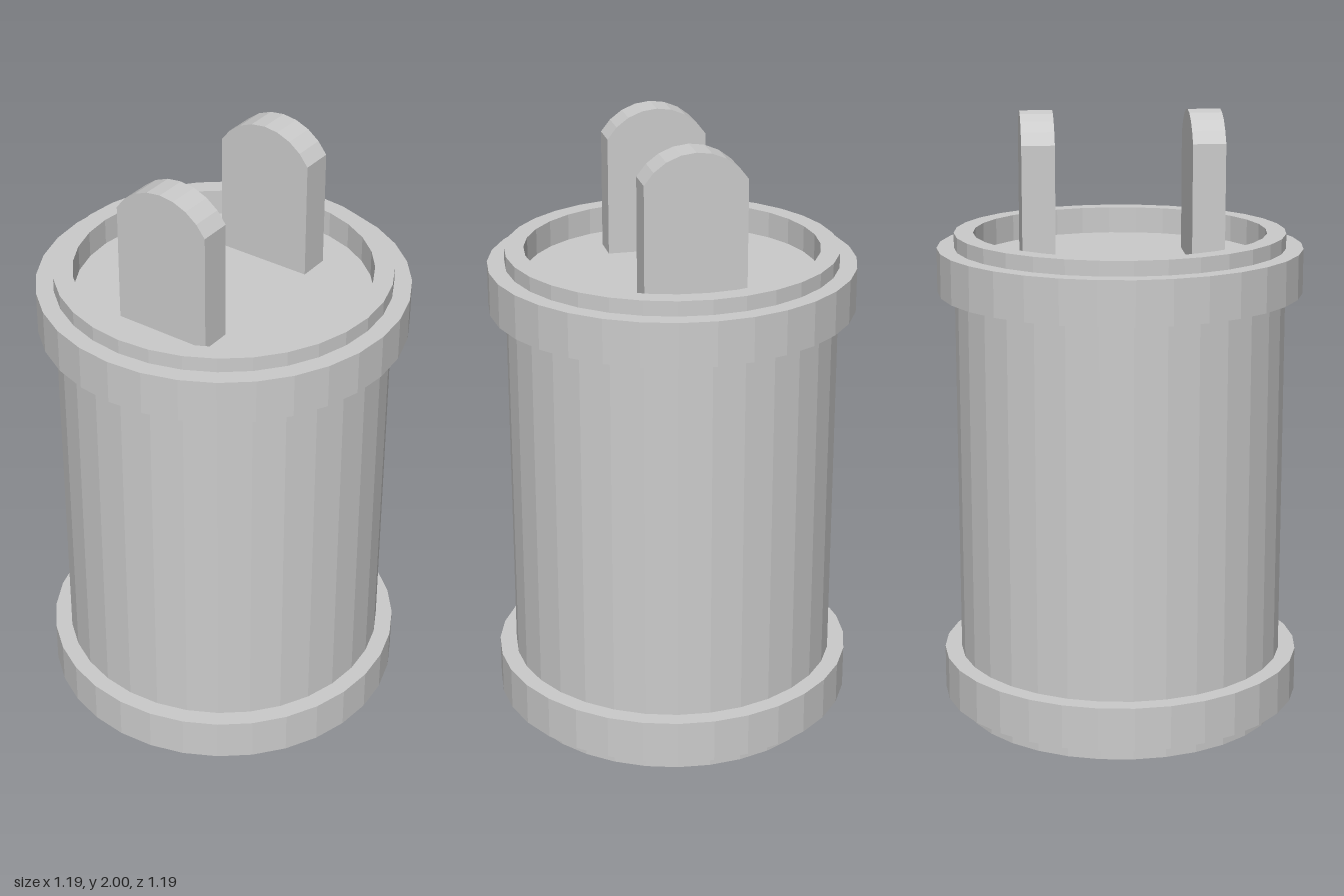
import * as THREE from 'three';

const SIDES = 32;
const material = new THREE.MeshStandardMaterial({ color: 0xcccccc, flatShading: true });

function addMesh(parent, name, geometry) {
  const mesh = new THREE.Mesh(geometry, material);
  mesh.name = name;
  parent.add(mesh);
  return mesh;
}

// Revolve a profile of [radius, height] pairs, running bottom to top on the outside
function revolve(profile) {
  return new THREE.LatheGeometry(profile.map(([r, y]) => new THREE.Vector2(r, y)), SIDES);
}

export function createModel() {
  const model = new THREE.Group();
  model.name = 'canister';

  const bodyR = 0.537, rimR = 0.475, bandR = 0.593;
  const height = 1.61, recess = 0.087;

  // Body with a shallow recess in each end
  addMesh(model, 'body', revolve([
    [0, recess], [rimR, recess], [rimR, 0], [bodyR, 0],
    [bodyR, height], [rimR, height], [rimR, height - recess], [0, height - recess],
  ]));

  // Raised bands near both ends
  for (const [name, y0, y1] of [['lowerBand', 0.053, 0.197], ['upperBand', 1.418, 1.562]]) {
    addMesh(model, name, revolve([
      [bodyR - 0.02, y0], [bandR, y0], [bandR, y1], [bodyR - 0.02, y1],
    ]));
  }

  // Two upright prongs with arched tops, standing on the recessed floor
  const halfWidth = 0.163, thickness = 0.105, arcR = 0.19, steps = 8;
  const sweep = Math.asin(halfWidth / arcR);
  const floor = height - recess;
  const outline = [new THREE.Vector2(-halfWidth, floor), new THREE.Vector2(halfWidth, floor)];
  for (let i = 0; i <= steps; i++) {
    const a = sweep * (1 - (2 * i) / steps);
    outline.push(new THREE.Vector2(arcR * Math.sin(a), 2 - arcR + arcR * Math.cos(a)));
  }
  const prong = new THREE.ExtrudeGeometry(new THREE.Shape(outline), { depth: thickness, bevelEnabled: false });
  prong.translate(0, 0, -thickness / 2);
  prong.rotateY(Math.PI / 2);
  for (const [name, side] of [['leftProng', 1], ['rightProng', -1]]) {
    addMesh(model, name, prong).position.x = side * 0.269;
  }

  return model;
}
